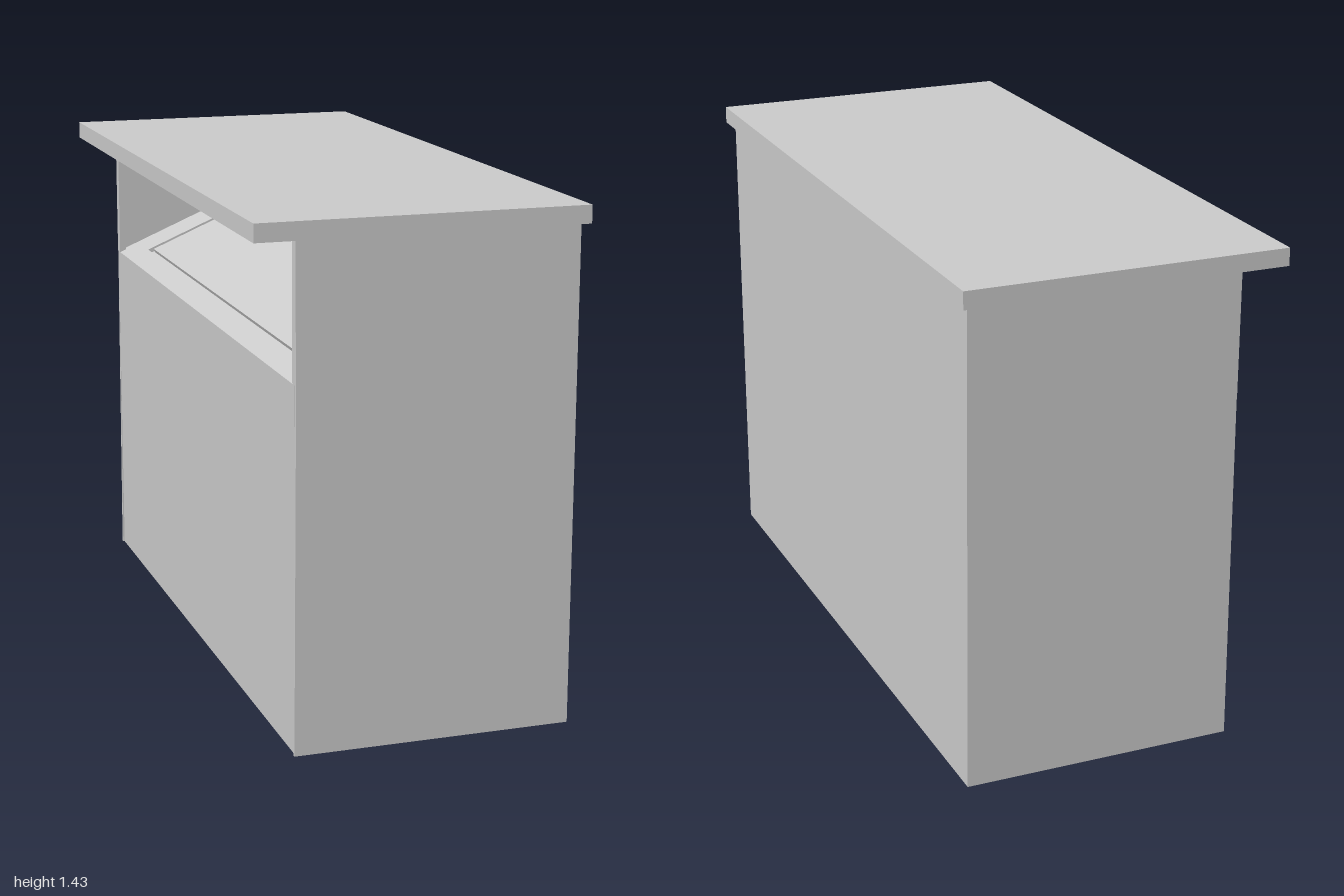
import * as THREE from 'three';

const material = new THREE.MeshStandardMaterial({ color: 0xcccccc, side: THREE.DoubleSide });

const BACK = -0.95, FRONT = 1, MID = (BACK + FRONT) / 2;
const LEFT = 0.43, RIGHT = -0.35, LID_BASE = 1.385, SILL = 1.01;
const WALL = 0.01;

export function createModel() {
  const model = new THREE.Group();
  model.name = 'counter';

  const add = (parent, name, geometry, x = 0, y = 0, z = 0) => {
    const mesh = new THREE.Mesh(geometry, material);
    mesh.name = name;
    mesh.position.set(x, y, z);
    parent.add(mesh);
    return mesh;
  };
  // Box given by its minimum and maximum corners
  const box = (name, [x0, y0, z0], [x1, y1, z1]) =>
    add(model, name, new THREE.BoxGeometry(x1 - x0, y1 - y0, z1 - z0),
      (x0 + x1) / 2, (y0 + y1) / 2, (z0 + z1) / 2);
  const rectangle = (x0, y0, x1, y1) => [
    new THREE.Vector2(x0, y0), new THREE.Vector2(x1, y0),
    new THREE.Vector2(x1, y1), new THREE.Vector2(x0, y1),
  ];

  // Overhanging top
  box('top', [-0.46, LID_BASE, -1], [0.46, 1.435, 1]);

  // Thin walls, open underneath; the right wall stops at the sill
  box('leftWall', [LEFT - WALL, 0, BACK], [LEFT, LID_BASE, FRONT]);
  box('rightWall', [RIGHT, 0, BACK + WALL], [RIGHT + WALL, SILL, FRONT - WALL]);

  // End walls with a very slight lean on the open side
  const end = new THREE.Shape([
    new THREE.Vector2(RIGHT - 0.005, 0), new THREE.Vector2(LEFT, 0),
    new THREE.Vector2(LEFT, LID_BASE), new THREE.Vector2(RIGHT + 0.003, LID_BASE),
  ]);
  const endGeometry = new THREE.ExtrudeGeometry(end, { depth: WALL, bevelEnabled: false });
  add(model, 'backWall', endGeometry, 0, 0, BACK);
  add(model, 'frontWall', endGeometry, 0, 0, FRONT - WALL);

  // Narrow posts at both ends of the opening
  box('backPost', [RIGHT, SILL, BACK], [RIGHT + 0.02, LID_BASE, BACK + 0.03]);
  box('frontPost', [RIGHT, SILL, FRONT - 0.03], [RIGHT + 0.02, LID_BASE, FRONT]);

  // Sloping desk rising from the sill towards the left wall
  const desk = new THREE.Group();
  desk.name = 'desk';
  desk.position.set(RIGHT, SILL, MID);
  desk.rotation.z = Math.atan(0.42);
  model.add(desk);

  const length = 0.83, half = (FRONT - BACK) / 2 - WALL;
  const slab = (name, shape, depth, drop) => {
    const geometry = new THREE.ExtrudeGeometry(shape, { depth, bevelEnabled: false });
    geometry.rotateX(Math.PI / 2);
    add(desk, name, geometry, 0, -drop, 0);
  };
  // Surround with a window, and an inset board separated by a fine groove
  const surround = new THREE.Shape(rectangle(0, -half, length, half));
  surround.holes.push(new THREE.Path(rectangle(0.07, -0.82, length - 0.07, 0.82)));
  slab('deskSurround', surround, 0.02, 0);
  slab('deskBoard', new THREE.Shape(rectangle(0.085, -0.805, length - 0.085, 0.805)), 0.012, 0.002);
  slab('deskBacking', new THREE.Shape(rectangle(0.05, -0.84, length - 0.05, 0.84)), 0.01, 0.014);

  return model;
}
